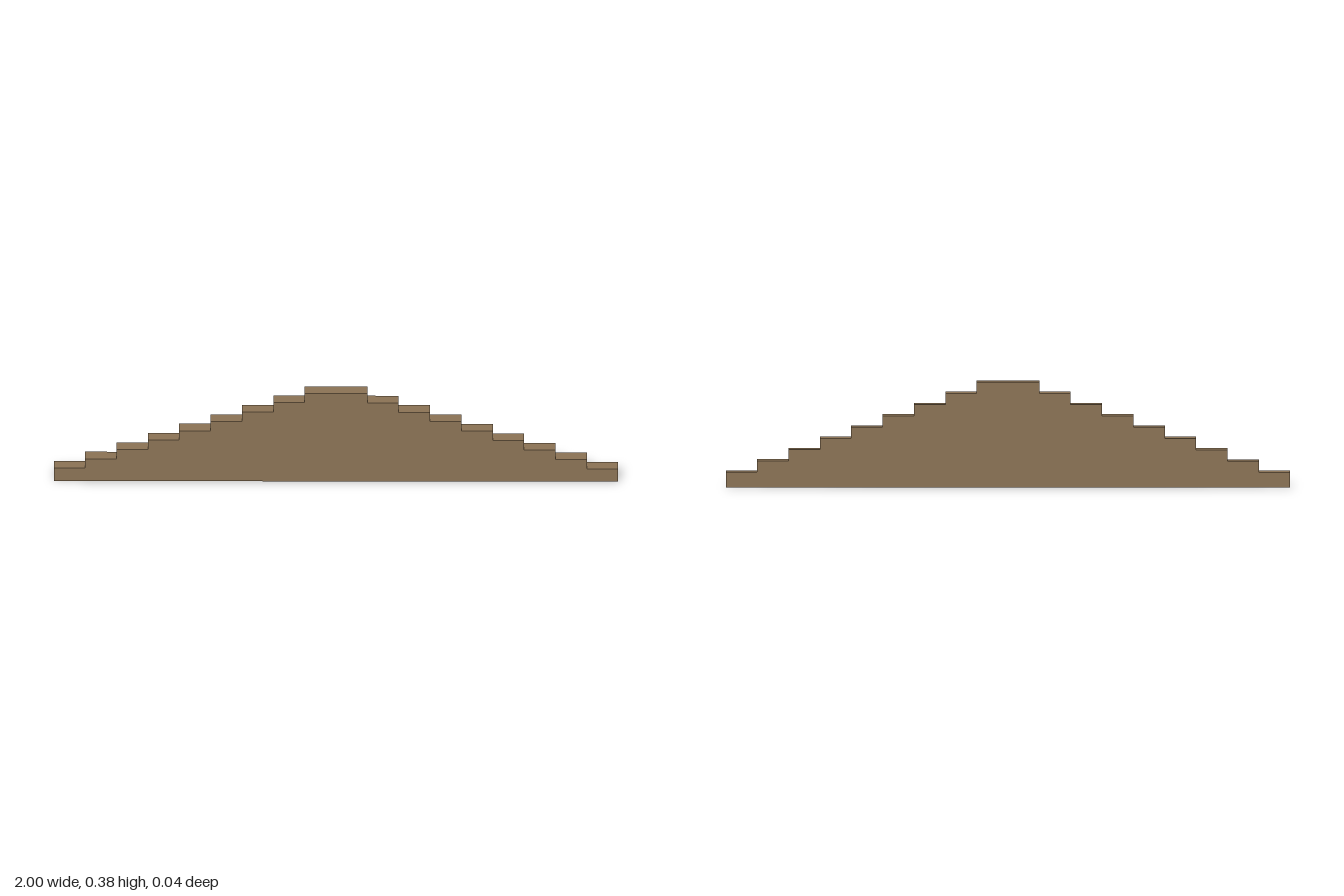
import * as THREE from 'three';

const STEPS = 9;          // levels on each side
const RUN = 1 / STEPS;    // width of one step
const FIRST = 0.055;      // height of the lowest step
const TOP = 0.378;        // height of the crest
const DEPTH = 0.0444;     // wall thickness

export function createModel() {
  const group = new THREE.Group();
  group.name = 'steppedGable';

  const brown = new THREE.MeshStandardMaterial({ color: 0x8b7355 });
  brown.name = 'brown';

  // Right half of the stepped outline, from the outer foot up to the crest
  const half = [[1, 0]];
  for (let i = 0; i < STEPS; i++) {
    const y = FIRST + (TOP - FIRST) * i / (STEPS - 1);
    half.push([1 - i * RUN, y]);
    if (i < STEPS - 1) half.push([1 - (i + 1) * RUN, y]);
  }

  // Mirror the half to close the outline
  const mirrored = half.map(([x, y]) => [-x, y]).reverse();
  const outline = new THREE.Shape([...half, ...mirrored].map(([x, y]) => new THREE.Vector2(x, y)));

  // Solid wall, centred in depth
  const geometry = new THREE.ExtrudeGeometry(outline, { depth: DEPTH, bevelEnabled: false });
  geometry.translate(0, 0, -DEPTH / 2);
  const wall = new THREE.Mesh(geometry, brown);
  wall.name = 'steppedWall';
  group.add(wall);

  return group;
}
